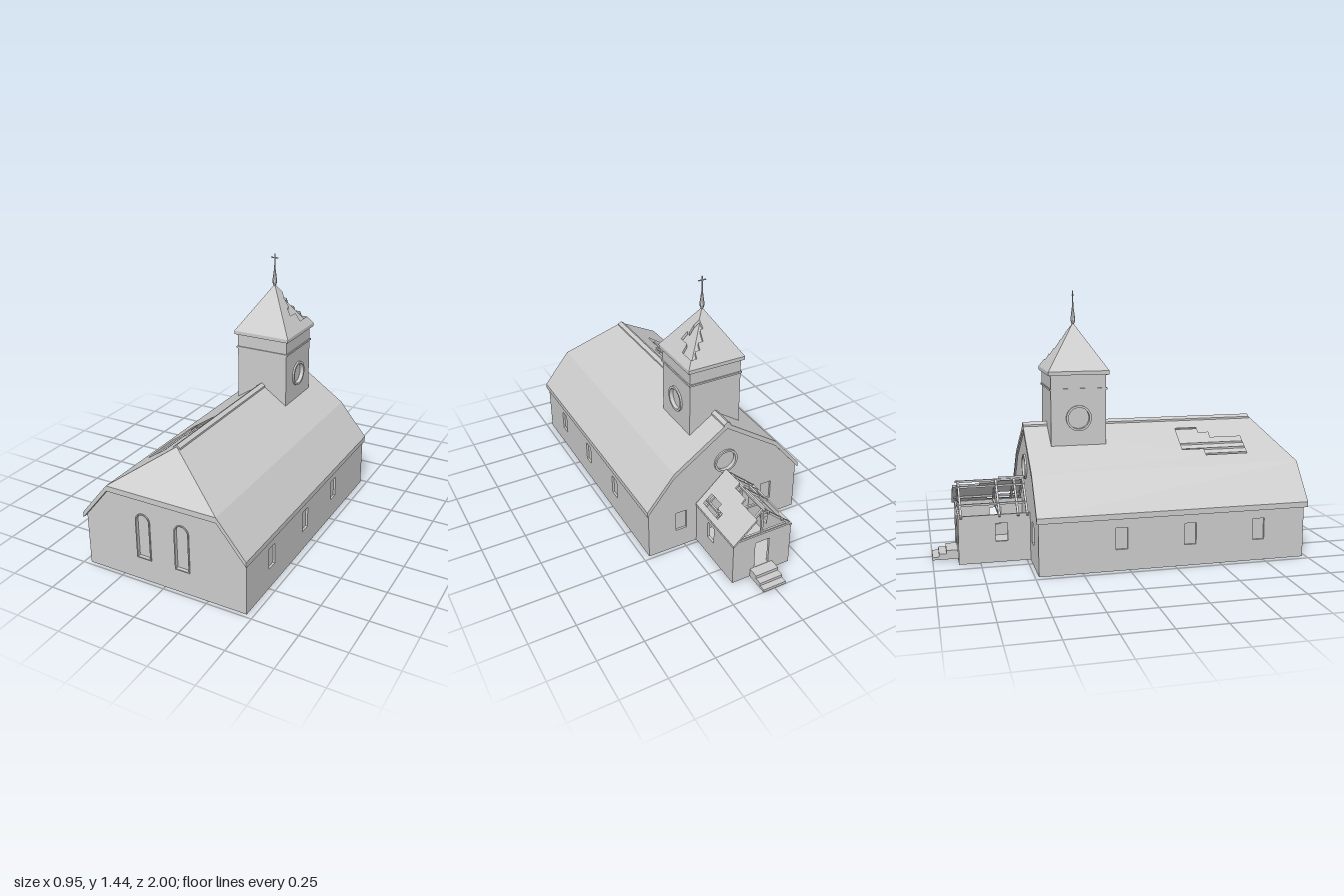
import * as THREE from 'three';

const material = new THREE.MeshStandardMaterial({ color: 0xcccccc, flatShading: true });
const TOWER_Z = -0.205;

function add(parent, name, geometry, x = 0, y = 0, z = 0) {
  const mesh = new THREE.Mesh(geometry, material);
  mesh.name = name;
  mesh.position.set(x, y, z);
  parent.add(mesh);
  return mesh;
}

const box = (parent, name, w, h, d, x, y, z) =>
  add(parent, name, new THREE.BoxGeometry(w, h, d), x, y, z);

const poly = (pts) => new THREE.Shape(pts.map(([x, y]) => new THREE.Vector2(x, y)));
const rect = (cx, y0, y1, w) => poly([[cx - w / 2, y0], [cx + w / 2, y0], [cx + w / 2, y1], [cx - w / 2, y1]]);
const circle = (cx, cy, r) => new THREE.Shape().absarc(cx, cy, r, 0, Math.PI * 2, false);

function arch(cx, y0, y1, w) {
  const r = w / 2;
  const s = new THREE.Shape();
  s.moveTo(cx - r, y0);
  s.lineTo(cx + r, y0);
  s.lineTo(cx + r, y1 - r);
  s.absarc(cx, y1 - r, r, 0, Math.PI, false);
  s.closePath();
  return s;
}

function extrude(shape, holes, depth) {
  shape.holes.push(...holes);
  return new THREE.ExtrudeGeometry(shape, { depth, bevelEnabled: false, curveSegments: 16 });
}

// Sloping sheet: plan outline in (x, z), lifted to height(x, z), with vertical thickness t
function slab(parent, name, pts, height, t, holes = []) {
  const plan = (p) => poly(p.map(([x, z]) => [x, -z]));
  const g = extrude(plan(pts), holes.map(plan), t).rotateX(-Math.PI / 2);
  const p = g.attributes.position;
  for (let i = 0; i < p.count; i++) p.setY(i, p.getY(i) - t + height(p.getX(i), p.getZ(i)));
  g.computeVertexNormals();
  return add(parent, name, g);
}

// Square beam between two points
function beam(parent, name, a, b, size = 0.012) {
  const A = new THREE.Vector3(...a), B = new THREE.Vector3(...b);
  const m = box(parent, name, size, size, A.distanceTo(B), 0, 0, 0);
  m.position.copy(A).add(B).multiplyScalar(0.5);
  m.lookAt(B);
}

// Wall pair facing +x and -x; outlines are drawn in (-z, y)
function sideWalls(parent, name, half, t, outline, holes) {
  for (const x of [half - t, -half]) {
    add(parent, name, extrude(outline(), holes(), t).rotateY(Math.PI / 2), x);
  }
}

// Ring frame with a recessed pane, facing z
function roundWindow(parent, x, y, z, turn) {
  const g = new THREE.Group();
  g.name = 'roundWindow';
  add(g, 'ring', extrude(circle(0, 0, 0.07), [circle(0, 0, 0.058)], 0.03), 0, 0, -0.02);
  add(g, 'pane', extrude(circle(0, 0, 0.06), [], 0.006), 0, 0, -0.018);
  g.position.set(x, y, z);
  g.rotation.y = turn;
  parent.add(g);
}

const naveRoof = (x) => {
  const a = Math.abs(x);
  return a < 0.315 ? 0.505 + (0.315 - a) * 0.683 : 0.505 - (a - 0.315) * 1.22;
};

function buildNave(g) {
  // Long walls with three windows each
  const zs = [0.718, 0.332, -0.043];
  sideWalls(g, 'naveSideWall', 0.465, 0.02,
    () => poly([[-0.98, 0], [0.48, 0], [0.48, 0.289], [-0.98, 0.289]]),
    () => zs.map((z) => rect(-z, 0.115, 0.232, 0.065)));
  for (const z of zs) for (const s of [1, -1]) box(g, 'naveWindowPane', 0.006, 0.12, 0.067, s * 0.45, 0.173, z);

  // Front wall with two arched windows
  const arches = [-0.118, 0.108];
  const top = (x) => naveRoof(x) - 0.028;
  add(g, 'frontWall', extrude(
    poly([[-0.465, 0], [0.465, 0], [0.465, top(0.465)], [0.315, 0.477], [-0.315, 0.477], [-0.465, top(0.465)]]),
    arches.map((x) => arch(x, 0.13, 0.39, 0.085)), 0.02), 0, 0, 0.96);
  for (const x of arches) {
    add(g, 'archFrame', extrude(arch(x, 0.13, 0.39, 0.085), [arch(x, 0.136, 0.384, 0.073)], 0.026), 0, 0, 0.96);
    add(g, 'archPane', extrude(arch(x, 0.132, 0.388, 0.081), [], 0.005), 0, 0, 0.962);
  }

  // Rear gable with round window and two small windows
  add(g, 'rearGable', extrude(
    poly([[-0.465, 0], [0.465, 0], [0.465, top(0.465)], [0.315, 0.477], [0, top(0)], [-0.315, 0.477], [-0.465, top(0.465)]]),
    [circle(0, 0.48, 0.062), ...[-1, 1].map((s) => rect(s * 0.27, 0.115, 0.232, 0.065))], 0.02), 0, 0, -0.48);
  roundWindow(g, 0, 0.48, -0.48, Math.PI);
  for (const s of [-1, 1]) box(g, 'rearWindowPane', 0.067, 0.12, 0.006, s * 0.27, 0.173, -0.465);
}

function buildNaveRoof(g) {
  // Stepped gap in the covering of the right slope
  const gap = [[-0.21, 0.365], [-0.07, 0.365], [-0.07, 0.49], [-0.105, 0.49], [-0.105, 0.55], [-0.14, 0.55],
    [-0.14, 0.73], [-0.25, 0.73], [-0.25, 0.49], [-0.21, 0.49]];
  for (const s of [1, -1]) {
    slab(g, 'upperRoofSlope', [[0, -0.49], [0, 0.83], [s * 0.315, 1], [s * 0.315, -0.49]], naveRoof, 0.03, s < 0 ? [gap] : []);
    slab(g, 'lowerRoofSlope', [[s * 0.315, -0.49], [s * 0.315, 1], [s * 0.475, 1], [s * 0.475, -0.49]],
      (x) => 0.505 - (Math.abs(x) - 0.315) * 1.22, 0.03);
    slab(g, 'ridgeCap', [[0, -0.49], [0, 0.83], [s * 0.02, 0.83], [s * 0.02, -0.49]], (x) => naveRoof(x) + 0.01, 0.012);
  }
  slab(g, 'frontHip', [[-0.315, 1], [0.315, 1], [0, 0.83]], (x, z) => 0.505 + (1 - z) * 1.265, 0.03);
  // Boarding and battens seen through the gap
  slab(g, 'roofBoarding', [[-0.27, 0.34], [-0.05, 0.34], [-0.05, 0.75], [-0.27, 0.75]], (x) => naveRoof(x) - 0.024, 0.01);
  for (const x of [-0.225, -0.19, -0.155]) {
    beam(g, 'roofBatten', [x, naveRoof(x) - 0.018, 0.35], [x, naveRoof(x) - 0.018, 0.74], 0.01);
  }
}

function buildTower(g) {
  const h = 0.152, t = 0.02, low = naveRoof(h) - 0.01;
  sideWalls(g, 'towerSideWall', h, t,
    () => rect(-TOWER_Z, low, 1.005, h * 2),
    () => [circle(-TOWER_Z, 0.765, 0.062)]);
  for (const z of [TOWER_Z + h - t, TOWER_Z - h]) {
    add(g, 'towerEndWall', extrude(
      poly([[-h, low], [0, naveRoof(0) - 0.01], [h, low], [h, 1.005], [-h, 1.005]]), [], t), 0, 0, z);
  }
  for (const s of [1, -1]) roundWindow(g, s * h, 0.765, TOWER_Z, s * Math.PI / 2);
  for (const y of [0.922, 1.0]) box(g, 'towerBand', 0.316, 0.01, 0.316, 0, y, TOWER_Z);
  box(g, 'towerEaves', 0.332, 0.016, 0.332, 0, 1.012, TOWER_Z);

  // Pyramid roof: two whole faces, two faces broken along their shared hip
  const e = 0.167, zf = TOWER_Z + e, zb = TOWER_Z - e, k = 0.25 / e, apex = [0, TOWER_Z];
  const byX = (x) => 1.27 - Math.abs(x) * k;
  const byZ = (x, z) => 1.27 - Math.abs(z - TOWER_Z) * k;
  slab(g, 'spireFace', [apex, [-e, zf], [e, zf]], byZ, 0.02);
  slab(g, 'spireFace', [apex, [-e, zf], [-e, zb]], byX, 0.02);
  slab(g, 'brokenSpireFace', [apex, [0.033, -0.238], [0.053, -0.22], [0.08, -0.22], [0.08, -0.2], [0.11, -0.185],
    [0.11, -0.25], [0.139, -0.25], [0.139, -0.344], [e, zb], [e, zf]], byX, 0.02);
  slab(g, 'brokenSpireFace', [apex, [-e, zb], [e, zb], [0.139, -0.344], [0.105, -0.344], [0.105, -0.322], [0.075, -0.322],
    [0.075, -0.3], [0.045, -0.3], [0.045, -0.265], [0.025, -0.265], [0.033, -0.238]], byZ, 0.02);
  const core = new THREE.ConeGeometry(0.147 * Math.SQRT2, 0.22, 4).rotateY(Math.PI / 4);
  add(g, 'spireBoarding', core, 0, 1.13, TOWER_Z);

  // Finial and cross
  const profile = [[0, 1.255], [0.006, 1.262], [0.014, 1.285], [0.004, 1.36], [0.003, 1.4], [0, 1.4]];
  add(g, 'finial', new THREE.LatheGeometry(profile.map(([r, y]) => new THREE.Vector2(r, y)), 6), 0, 0, TOWER_Z);
  box(g, 'crossUpright', 0.005, 0.06, 0.005, 0, 1.413, TOWER_Z);
  box(g, 'crossBar', 0.044, 0.005, 0.005, 0, 1.421, TOWER_Z);
}

function buildPorch(g) {
  const h = 0.175, roofY = (x) => 0.43 - Math.abs(x) * 0.9;
  sideWalls(g, 'porchSideWall', h, 0.015,
    () => poly([[0.48, 0], [0.865, 0], [0.865, 0.262], [0.48, 0.262]]),
    () => [rect(0.635, 0.115, 0.215, 0.065)]);
  add(g, 'porchEndWall', extrude(rect(0, 0, 0.262, 2 * h), [rect(0, 0.052, 0.215, 0.085)], 0.015), 0, 0, -0.865);
  box(g, 'porchFloor', 0.34, 0.048, 0.375, 0, 0.026, -0.67);

  // Surviving roof sheet with a ragged upper edge and a hole
  slab(g, 'porchRoofSheet', [[0, -0.49], [0, -0.63], [0.027, -0.63], [0.027, -0.73], [0.05, -0.73], [0.05, -0.88],
    [0.185, -0.88], [0.185, -0.49]], roofY, 0.014,
  [[[0.111, -0.53], [0.111, -0.63], [0.133, -0.63], [0.133, -0.68], [0.161, -0.68], [0.161, -0.53]]]);

  // Bare trusses and purlins
  for (const z of [-0.495, -0.545, -0.645, -0.85]) {
    for (const s of [1, -1]) beam(g, 'rafter', [0, 0.412, z], [s * 0.178, 0.252, z]);
  }
  for (const z of [-0.645, -0.85]) {
    beam(g, 'tieBeam', [-0.17, 0.262, z], [0.17, 0.262, z]);
    beam(g, 'kingPost', [0, 0.262, z], [0, 0.412, z]);
  }
  for (const x of [-0.172, -0.116, -0.028, 0, 0.135]) {
    beam(g, 'purlin', [x, roofY(x) - 0.017, -0.49], [x, roofY(x) - 0.017, -0.868], 0.011);
  }

  // Entrance steps
  [[0.05, -0.925], [0.032, -0.965], [0.016, -1]].forEach(([y, z]) => {
    box(g, 'entranceStep', 0.136, y, -0.86 - z, 0, y / 2, (z - 0.86) / 2);
  });
}

export function createModel() {
  const model = new THREE.Group();
  model.name = 'church';
  for (const [name, build] of [['nave', buildNave], ['naveRoof', buildNaveRoof], ['tower', buildTower], ['porch', buildPorch]]) {
    const part = new THREE.Group();
    part.name = name;
    build(part);
    model.add(part);
  }
  return model;
}
